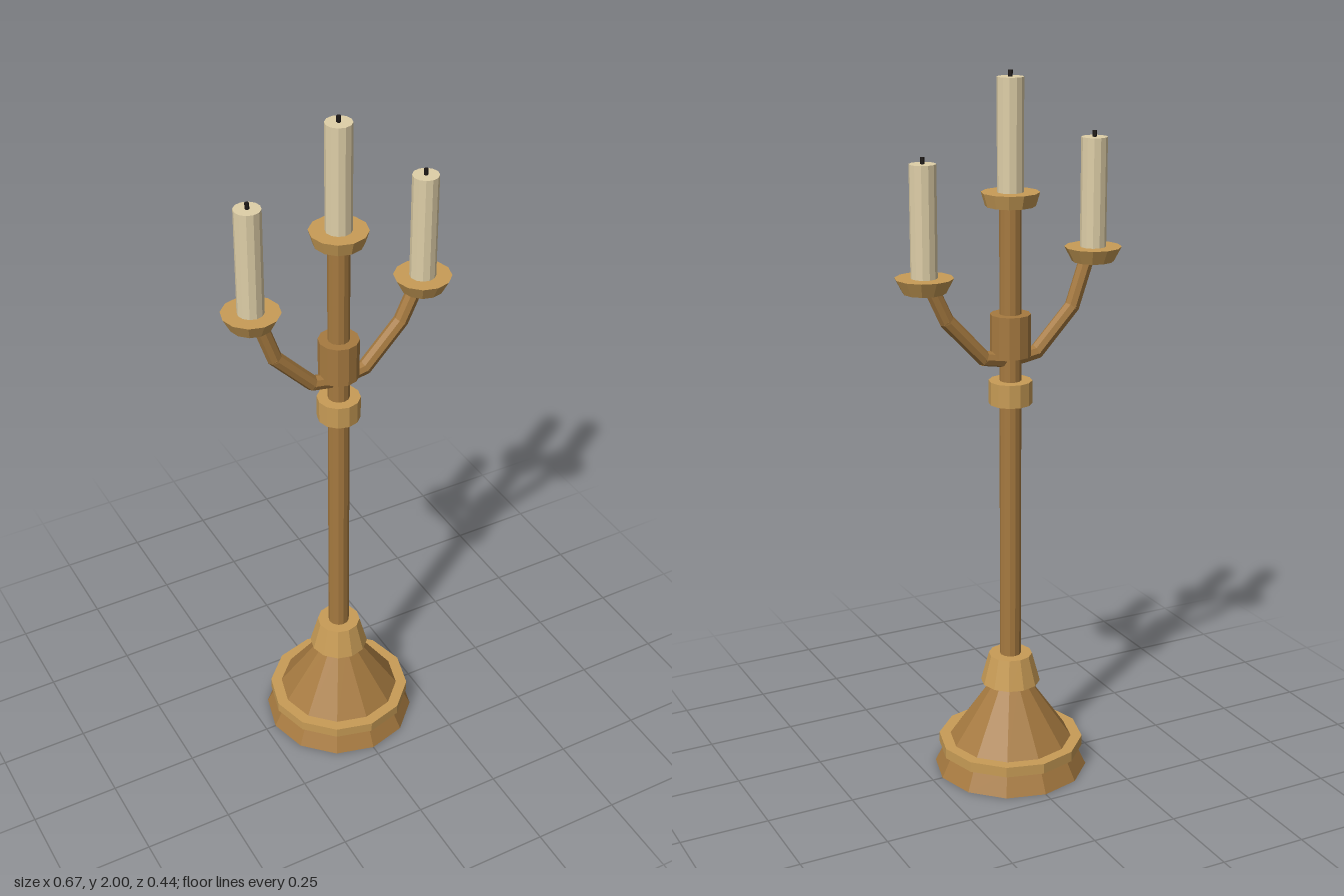
import * as THREE from 'three';

const mat = (name, color) => {
  const m = new THREE.MeshStandardMaterial({ color, flatShading: true });
  m.name = name;
  return m;
};

export function createModel() {
  const brass = mat('darkBrass', 0xa67a40);
  const gold = mat('paleBrass', 0xc89c56);
  const wax = mat('wax', 0xdfcfa8);
  const black = mat('wickBlack', 0x1c1715);

  const model = new THREE.Group();
  model.name = 'candelabra';

  // Upright tapered cylinder between two heights
  const ring = (name, material, y0, y1, r0, r1, x = 0, sides = 12, parent = model) => {
    const mesh = new THREE.Mesh(new THREE.CylinderGeometry(r1, r0, y1 - y0, sides), material);
    mesh.name = name;
    mesh.position.set(x, (y0 + y1) / 2, 0);
    parent.add(mesh);
    return mesh;
  };

  // Stepped foot
  ring('footPlinth', brass, 0, 0.062, 0.22, 0.19);
  ring('footBand', gold, 0.06, 0.09, 0.208, 0.208);
  ring('footCone', brass, 0.088, 0.27, 0.177, 0.05);
  ring('footCollar', gold, 0.265, 0.35, 0.085, 0.062);

  // Stem with its two knobs
  ring('stem', brass, 0.34, 1.66, 0.03, 0.03);
  ring('lowerKnob', gold, 1.1, 1.165, 0.06, 0.06);
  ring('armHub', brass, 1.235, 1.352, 0.056, 0.056);

  // Drip dish, candle and wick
  const holder = (name, x, dishY, dishH, dishR, candleTop) => {
    const g = new THREE.Group();
    g.name = name;
    model.add(g);
    ring('dripDish', gold, dishY - dishH, dishY, dishR, 0.079, x, 12, g);
    ring('candle', wax, dishY - 0.005, candleTop, 0.036, 0.036, x, 12, g);
    ring('wick', black, candleTop - 0.005, candleTop + 0.017, 0.006, 0.006, x, 6, g);
  };
  holder('centreHolder', 0, 1.683, 0.037, 0.068, 1.984);
  holder('rightHolder', -0.254, 1.513, 0.04, 0.058, 1.812);
  holder('leftHolder', 0.254, 1.476, 0.04, 0.058, 1.775);

  // Angular arms made of straight rods
  const up = new THREE.Vector3(0, 1, 0);
  const arm = (name, side, endY) => {
    const g = new THREE.Group();
    g.name = name;
    const pts = [[0, 1.222], [0.08, 1.236], [0.19, 1.352], [0.236, endY]]
      .map(([x, y]) => new THREE.Vector3(side * x, y, 0));
    for (let i = 0; i < pts.length - 1; i++) {
      const dir = pts[i + 1].clone().sub(pts[i]);
      const rod = new THREE.Mesh(
        new THREE.CylinderGeometry(0.021, 0.021, dir.length() + 0.008, 8), brass);
      rod.name = 'armRod';
      rod.position.copy(pts[i]).addScaledVector(dir, 0.5);
      rod.quaternion.setFromUnitVectors(up, dir.normalize());
      g.add(rod);
    }
    model.add(g);
  };
  arm('rightArm', -1, 1.485);
  arm('leftArm', 1, 1.45);

  return model;
}
